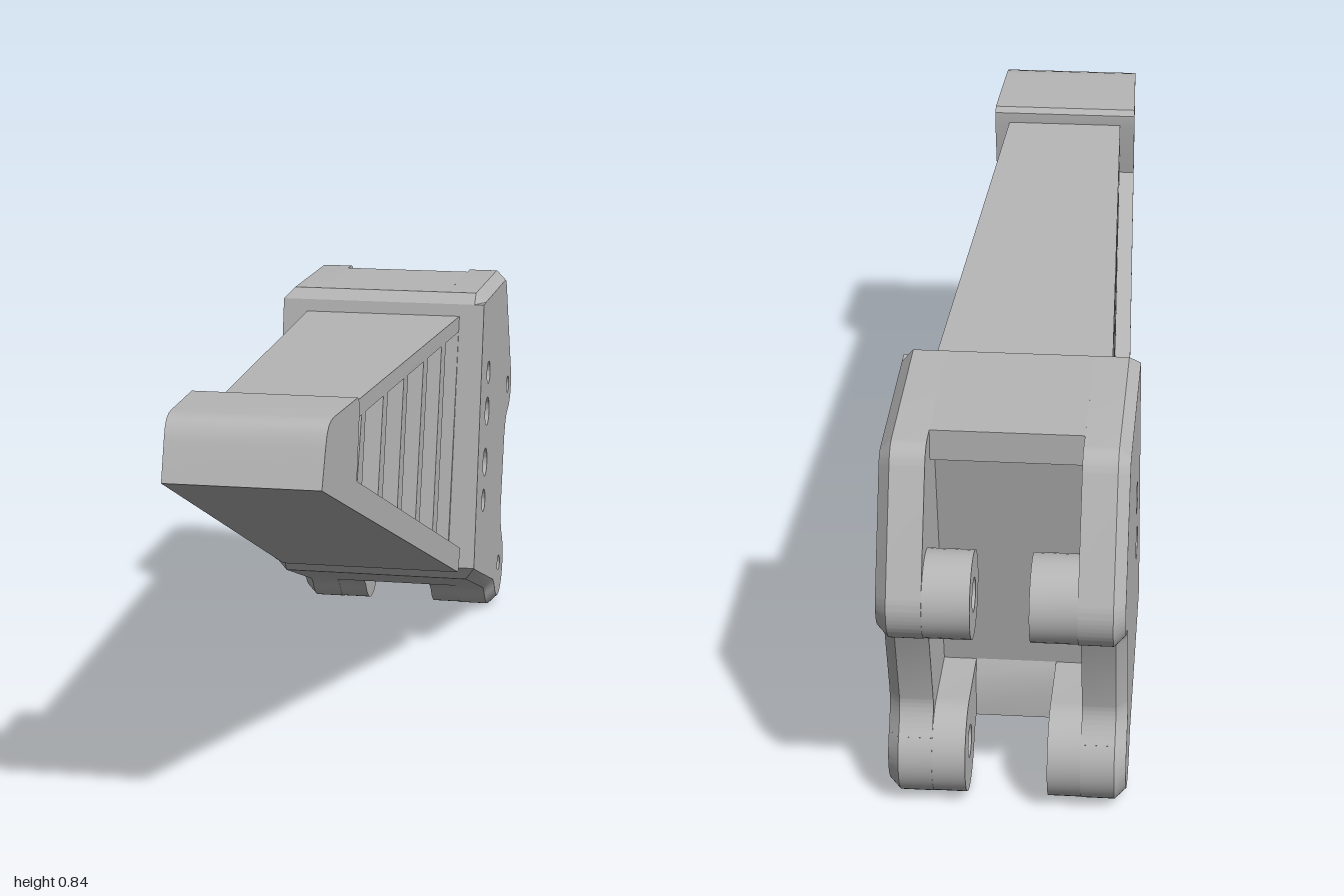
import * as THREE from 'three';
import { toCreasedNormals } from 'three/addons/utils/BufferGeometryUtils.js';

const grey = new THREE.MeshStandardMaterial({ color: 0xb6b6b6 });
grey.name = 'plain grey';

// Side profiles are drawn with u = -z and v = y, then extruded along x.
const polygon = (pts) => new THREE.Shape(pts.map(([z, y]) => new THREE.Vector2(-z, y)));
const circle = (z, y, r) => new THREE.Path().absarc(-z, y, r, 0, Math.PI * 2, false);

function addMesh(parent, name, geo) {
  const mesh = new THREE.Mesh(toCreasedNormals(geo, 0.5), grey);
  mesh.name = name;
  parent.add(mesh);
}

function extrudeX(shape, x0, x1) {
  return new THREE.ExtrudeGeometry(shape, { depth: x1 - x0, bevelEnabled: false, curveSegments: 20 })
    .translate(0, 0, x0).rotateY(Math.PI / 2);
}

// Extrusion whose half width grows towards the back
function taperedX(shape, inset) {
  const geo = extrudeX(shape, -1, 1);
  const p = geo.attributes.position;
  for (let i = 0; i < p.count; i++) {
    p.setX(i, p.getX(i) * (0.149 + 0.0415 * (1 - p.getZ(i)) - inset));
  }
  return geo;
}

const bottomY = (z) => 0.73 - 0.397 * (1 - z);
const topY = (z) => 0.784 + 0.0297 * z;

const UPPER = [-0.91, 0.52], LOWER = [-0.785, 0.1];
const INNER = 0.145, OUTER = 0.233, BEVEL = 0.022;

// Outline of a bracket cheek with its two rounded ears, clockwise from the front edge
function cheekShape() {
  const s = new THREE.Shape();
  const deg = Math.PI / 180;
  s.moveTo(0.362, 0.205);
  s.lineTo(0.477, 0.797);
  s.lineTo(0.5, 0.82);
  s.lineTo(0.845, 0.812);
  s.quadraticCurveTo(0.875, 0.81, 0.89, 0.778);
  s.absarc(0.91, 0.52, 0.086, 26 * deg, -75 * deg, true);
  s.quadraticCurveTo(0.893, 0.43, 0.882, 0.395);
  s.lineTo(0.837, 0.235);
  s.quadraticCurveTo(0.83, 0.2, 0.866, 0.159);
  s.absarc(0.785, 0.1, 0.1, 36 * deg, -150 * deg, true);
  s.lineTo(0.68, 0.066);
  s.lineTo(0.385, 0.172);
  s.closePath();
  return s;
}

// Outline points paired with their inset places; the front edge stays put
function insetOutline(shape, segments) {
  const pts = shape.getPoints(segments)
    .filter((p, i, all) => p.distanceTo(all[(i + 1) % all.length]) > 1e-4);
  const normal = (a, b) => new THREE.Vector2(b.y - a.y, a.x - b.x).normalize();
  return pts.map((p, i) => {
    const n1 = normal(pts.at(i - 1), p), n2 = normal(p, pts[(i + 1) % pts.length]);
    const move = n1.clone().add(n2).multiplyScalar(BEVEL / (1 + n1.dot(n2)));
    const onFront = p.x < 0.478 && p.y > 0.2;
    return { from: p, to: onFront ? p : p.clone().add(move) };
  });
}

// Cheek plate, chamfered on its outer rim only
function cheekGeometry(side, holes) {
  const shape = cheekShape();
  const rim = insetOutline(shape, 16);
  holes.forEach(([z, y, r]) => shape.holes.push(circle(z, y, r)));
  const depth = OUTER - INNER;
  const geo = new THREE.ExtrudeGeometry(shape, { depth, steps: 2, bevelEnabled: false, curveSegments: 16 });
  const p = geo.attributes.position;
  for (let i = 0; i < p.count; i++) {
    // 0 on the inner face, 0.5 on the middle ring, 1 on the outer face
    const layer = side > 0 ? p.getZ(i) / depth : 1 - p.getZ(i) / depth;
    if (layer > 0.9) {
      const hit = rim.find(({ from }) => Math.hypot(from.x - p.getX(i), from.y - p.getY(i)) < 2e-4);
      if (hit) p.setXY(i, hit.to.x, hit.to.y);
    }
    const out = layer < 0.1 ? INNER : layer > 0.9 ? OUTER : OUTER - BEVEL;
    p.setZ(i, side * out);
  }
  return geo.rotateY(Math.PI / 2);
}

export function createModel() {
  const model = new THREE.Group();
  model.name = 'bracketArm';

  // Arm: nose block and wide bottom plate
  const arm = new THREE.Group();
  arm.name = 'arm';
  model.add(arm);
  addMesh(arm, 'noseAndBottomPlate', taperedX(polygon([
    [1, 0.73], [0.972, 0.8], [0.96, 0.824], [0.945, 0.838], [0.925, 0.844], [0.9, 0.845],
    [0.71, 0.839], [0.698, 0.828], [0.698, 0.8], [0.719, bottomY(0.719) + 0.06],
    [-0.338, bottomY(-0.338) + 0.06], [-0.314, bottomY(-0.314)],
  ]), 0));

  // Arm: ribbed core with slanted openings
  const truss = polygon([
    [0.75, bottomY(0.75) + 0.035], [-0.4, bottomY(-0.4) + 0.035],
    [-0.52, topY(-0.52)], [0.75, topY(0.75)],
  ]);
  // front and rear edge of every opening, as z at the top and z at the bottom
  const frontEdges = [[0.688, 0.712], [0.496, 0.528], [0.292, 0.34], [0.094, 0.153], [-0.115, -0.035], [-0.314, -0.228]];
  const rearEdges = [[0.533, 0.571], [0.335, 0.383], [0.137, 0.196], [-0.067, 0.008], [-0.265, -0.18], [-0.462, -0.366]];
  frontEdges.forEach(([ft, fb], i) => {
    const [rt, rb] = rearEdges[i];
    truss.holes.push(polygon([
      [fb, bottomY(fb) + 0.08], [rb, bottomY(rb) + 0.08],
      [rt, topY(rt) - 0.035], [ft, topY(ft) - 0.035],
    ]));
  });
  addMesh(arm, 'ribbedCore', taperedX(truss, 0.033));

  // Bracket: solid body between the cheeks, with an overhanging roof
  const bracket = new THREE.Group();
  bracket.name = 'bracket';
  model.add(bracket);
  const through = [[-0.55, 0.533, 0.033], [-0.525, 0.417, 0.033]];
  const body = polygon([
    [-0.362, 0.205], [-0.477, 0.797], [-0.5, 0.82], [-0.81, 0.813], [-0.81, 0.75],
    [-0.74, 0.75], [-0.64, 0.2], [-0.655, 0.16], [-0.655, 0.075], [-0.385, 0.172],
  ]);
  through.forEach((hole) => body.holes.push(circle(...hole)));
  addMesh(bracket, 'bracketBody', extrudeX(body, -INNER, INNER));

  // Bracket: cheeks, with extra bores on the left one
  const extra = [[-0.567, 0.622, 0.026], [-0.506, 0.33, 0.026], [...UPPER, 0.02], [...LOWER, 0.02]];
  addMesh(bracket, 'leftCheek', cheekGeometry(1, [...through, ...extra]));
  addMesh(bracket, 'rightCheek', cheekGeometry(-1, through));

  // Bracket: pivot bosses on the inner faces of the cheeks
  const upper = new THREE.Shape().absarc(-UPPER[0], UPPER[1], 0.085, 0, Math.PI * 2, false);
  upper.holes.push(circle(...UPPER, 0.033));
  const lower = new THREE.Shape();
  lower.moveTo(0.6, 0.096);
  lower.lineTo(0.68, 0.067);
  lower.absarc(0.785, 0.1, 0.099, Math.PI * 7 / 6, Math.PI * 2.53, false);
  lower.lineTo(0.6, 0.2);
  lower.closePath();
  lower.holes.push(circle(...LOWER, 0.033));
  for (const [side, label] of [[1, 'left'], [-1, 'right']]) {
    const span = (a) => (side > 0 ? [a, INNER] : [-INNER, -a]);
    addMesh(bracket, label + 'UpperBoss', extrudeX(upper, ...span(0.055)));
    addMesh(bracket, label + 'LowerBoss', extrudeX(lower, ...span(0.08)));
  }
  return model;
}
